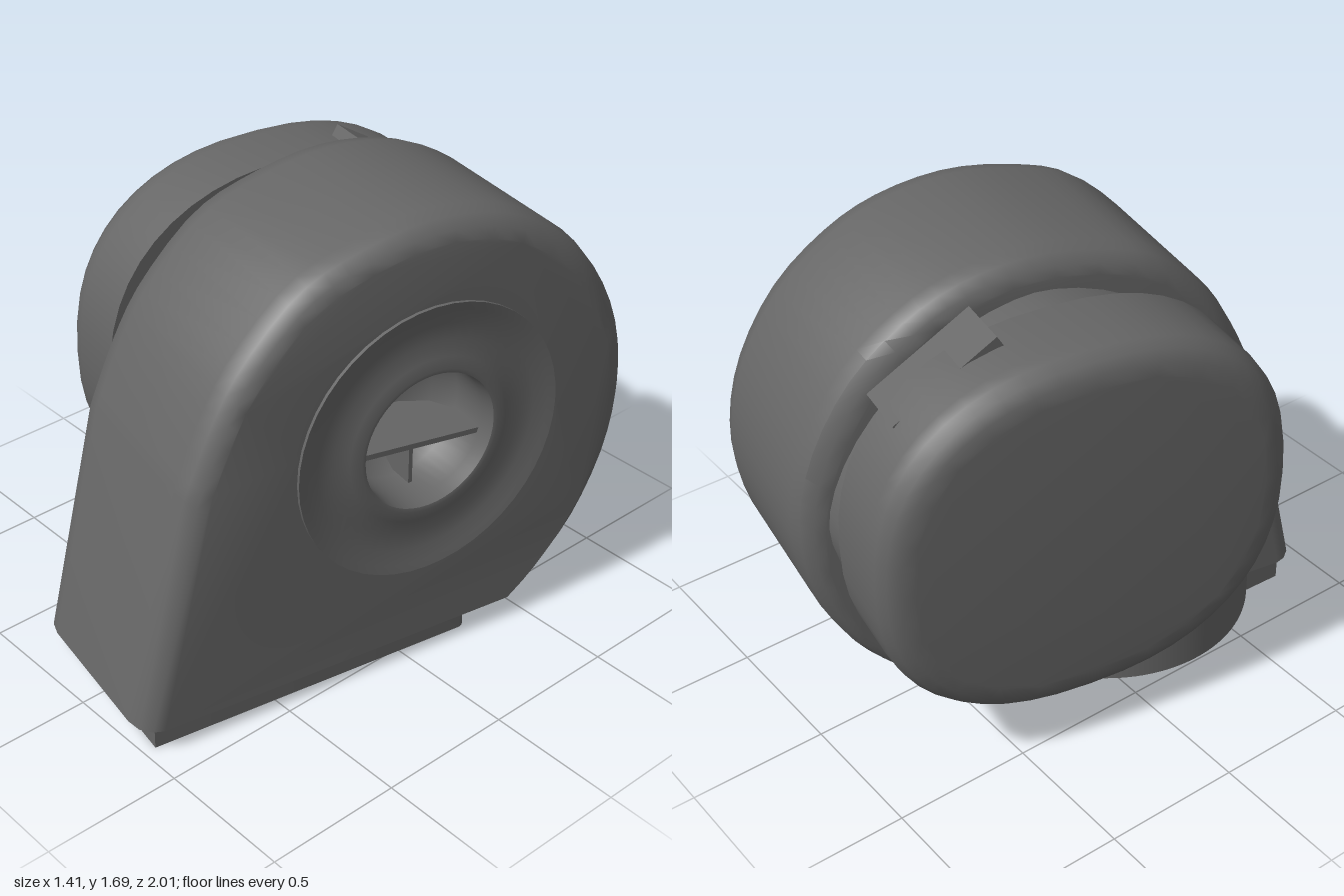
import * as THREE from 'three';
import { toCreasedNormals } from 'three/addons/utils/BufferGeometryUtils.js';

const AXIS_Y = 0.89, AXIS_W = -0.155; // inlet centre

// Extrudes a side outline along x through rings of [x, inset]; insets shrink towards (cz, cy).
function ringedExtrude(shape, rings, cz, cy, rz, ry, keep = () => false) {
  const n = rings.length - 1;
  const g = new THREE.ExtrudeGeometry(shape, { depth: 1, steps: n, bevelEnabled: false, curveSegments: 32 });
  g.rotateY(Math.PI / 2);
  const p = g.attributes.position;
  for (let i = 0; i < p.count; i++) {
    const [x, inset] = rings[Math.round(p.getX(i) * n)];
    const y = p.getY(i), z = p.getZ(i);
    if (keep(z, y)) p.setX(i, x);
    else p.setXYZ(i, x, cy + (y - cy) * (1 - inset / ry), cz + (z - cz) * (1 - inset / rz));
  }
  return toCreasedNormals(g, 0.6);
}

// Superellipse outline in the side plane
function roundedOutline(cz, cy, rz, ry, power) {
  const pts = [];
  for (let i = 0; i < 48; i++) {
    const a = (i / 48) * Math.PI * 2, c = Math.cos(a), s = Math.sin(a);
    pts.push(new THREE.Vector2(
      -cz + rz * Math.sign(c) * Math.abs(c) ** (2 / power),
      cy + ry * Math.sign(s) * Math.abs(s) ** (2 / power)));
  }
  return new THREE.Shape(pts);
}

export function createModel() {
  const group = new THREE.Group();
  const grey = new THREE.MeshStandardMaterial({ color: 0x666666 });
  grey.name = 'dark grey';
  const body = new THREE.Group();
  body.name = 'blower';
  body.rotation.y = -0.176;
  group.add(body);
  const add = (name, geometry) => {
    const m = new THREE.Mesh(geometry, grey);
    m.name = name;
    body.add(m);
    return m;
  };

  // Teardrop fan housing with rounded side edges
  const curve = new THREE.SplineCurve([
    [0.745, 0.95], [0.65, 1.17], [0.535, 1.36], [0.33, 1.56], [0.12, 1.645], [-0.14, 1.69],
    [-0.395, 1.66], [-0.6, 1.57], [-0.8, 1.4], [-0.945, 1.15], [-1.0, 0.88], [-0.965, 0.62],
    [-0.85, 0.37], [-0.695, 0.19], [-0.57, 0.09],
  ].map(([z, y]) => new THREE.Vector2(-z, y)));
  const outline = new THREE.Shape([new THREE.Vector2(-0.943, 0.095), ...curve.getPoints(44)]);
  const bore = new THREE.Path();
  bore.absarc(-AXIS_W, AXIS_Y, 0.5, 0, Math.PI * 2, true);
  outline.holes.push(bore);
  add('fanHousing', ringedExtrude(outline,
    [[-0.2, 0.08], [-0.188, 0.045], [-0.155, 0.012], [-0.1, 0], [0.44, 0], [0.497, 0.012], [0.533, 0.045], [0.547, 0.08]],
    -0.03, 0.09, 0.95, 1.6,
    (z, y) => Math.hypot(z - AXIS_W, y - AXIS_Y) < 0.52));

  // Motor cover and the recessed neck joining it to the housing
  add('motorCover', ringedExtrude(roundedOutline(-0.158, 0.893, 0.75, 0.682, 2.35),
    [[-0.635, 0.11], [-0.627, 0.065], [-0.605, 0.028], [-0.565, 0.006], [-0.52, 0], [-0.295, 0]],
    -0.158, 0.893, 0.75, 0.682));
  add('motorNeck', ringedExtrude(roundedOutline(-0.158, 0.893, 0.745, 0.68, 1.75),
    [[-0.31, 0], [-0.15, 0]], -0.158, 0.893, 0.75, 0.682));

  // Flat bridge over the neck, at the upper back
  const bridge = add('neckBridge', new THREE.BoxGeometry(0.2, 0.12, 0.42));
  bridge.position.set(-0.31, 1.435, -0.54);
  bridge.rotation.x = -0.55;

  // Inlet ring with a shallow groove, throat and bowl
  const ring = new THREE.LatheGeometry([
    [0.51, 0.5], [0.51, 0.559], [0.48, 0.553], [0.43, 0.541], [0.37, 0.538], [0.31, 0.547],
    [0.27, 0.558], [0.255, 0.555], [0.25, 0.5], [0.25, 0.35], [0.2, 0.27], [0.1, 0.23], [0, 0.22],
  ].map(([r, h]) => new THREE.Vector2(r, h)), 48);
  ring.rotateZ(-Math.PI / 2);
  add('inletRing', toCreasedNormals(ring, 0.7)).position.set(0, AXIS_Y, AXIS_W);

  // Vanes inside the inlet
  const shelf = add('inletShelf', new THREE.BoxGeometry(0.26, 0.02, 0.49));
  shelf.position.set(0.36, 0.84, AXIS_W);
  shelf.rotation.x = -0.09;
  add('inletVane', new THREE.BoxGeometry(0.2, 0.19, 0.015)).position.set(0.33, 0.745, AXIS_W - 0.01);

  // Outlet base: straight right side, round left side, round opening below
  const plan = new THREE.Shape();
  plan.moveTo(0.505, -0.88);
  plan.lineTo(0.505, 0.34);
  plan.quadraticCurveTo(0.505, 0.38, 0.45, 0.38);
  plan.lineTo(0.2, 0.28);
  plan.absarc(0.1, -0.28, 0.54, Math.PI * 0.45, Math.PI * 1.32, false);
  plan.lineTo(-0.17, -0.88);
  const opening = new THREE.Path();
  opening.absarc(0.1, -0.3, 0.25, 0, Math.PI * 2, true);
  plan.holes.push(opening);
  const base = new THREE.ExtrudeGeometry(plan, { depth: 0.19, bevelEnabled: false, curveSegments: 32 });
  base.rotateX(-Math.PI / 2);
  add('outletBase', toCreasedNormals(base, 0.6));

  // Hollow of the outlet, seen from below
  const hollow = new THREE.LatheGeometry([
    [0, 0.16], [0.1, 0.145], [0.18, 0.1], [0.23, 0.045], [0.25, 0],
  ].map(([r, h]) => new THREE.Vector2(r, h)), 32);
  add('outletHollow', hollow).position.set(0.1, 0, 0.3);

  return group;
}
